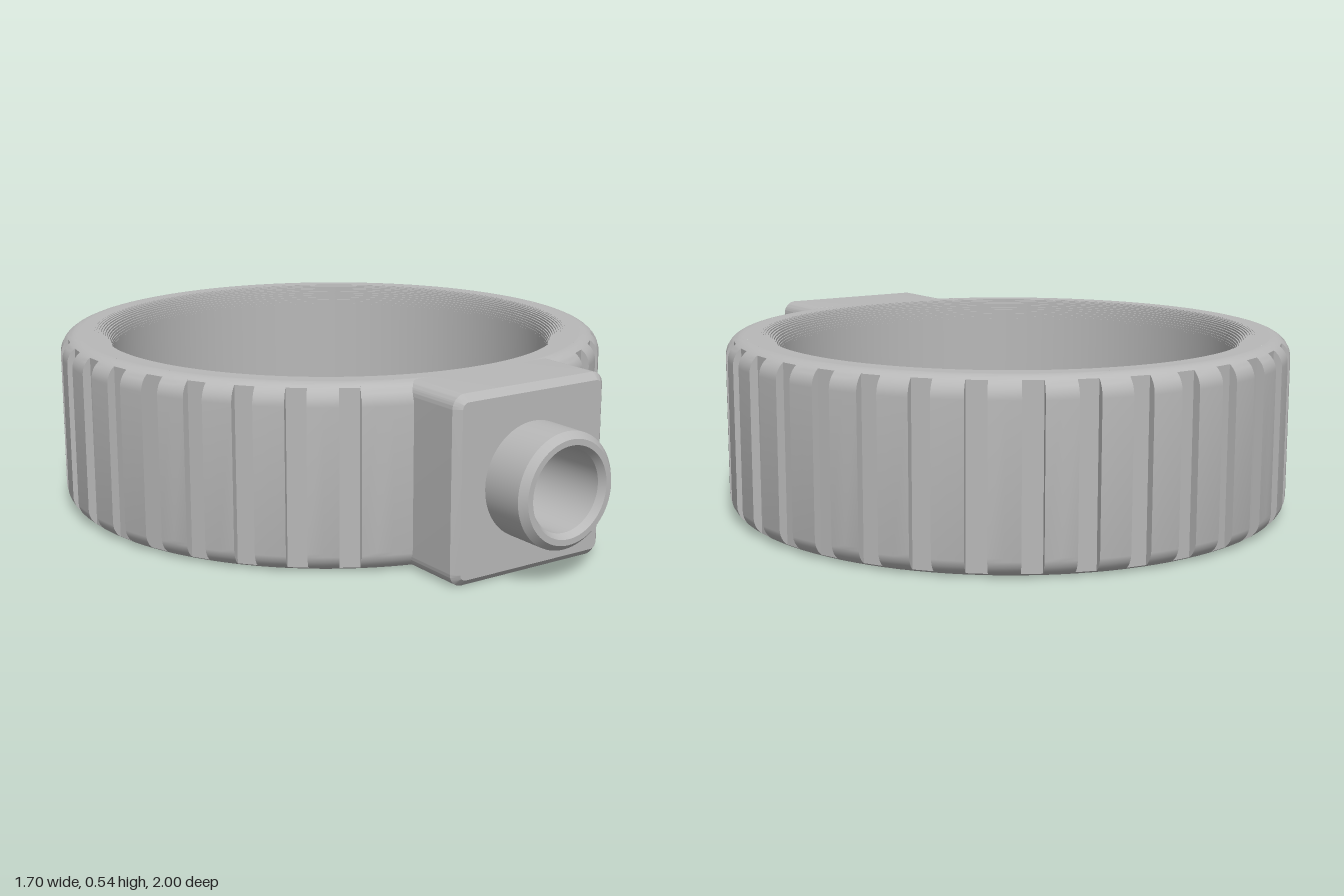
import * as THREE from 'three';
import { toCreasedNormals } from 'three/addons/utils/BufferGeometryUtils.js';

const H = 0.535, RING_Z = -0.15;
const OUTER = 0.85, INNER = 0.69, FLOOR = 0.825;
const FILLET = 0.06, GROOVE_HALF = 0.03;

// Outer wall: a rounded-edge band with straight grooves cut at every 10 degrees,
// leaving the front free for the housing.
function grippedWall() {
  const profile = [];
  const N = 10;
  for (let k = 0; k <= N; k++) {
    const a = (k / N) * Math.PI / 2;
    profile.push([OUTER - FILLET + FILLET * Math.sin(a), FILLET - FILLET * Math.cos(a)]);
  }
  for (let k = N; k >= 0; k--) profile.push([profile[k][0], H - profile[k][1]]);

  const columns = [];
  const step = Math.PI / 18, half = Math.asin(GROOVE_HALF / OUTER);
  for (let i = 0; i < 36; i++) {
    const mid = i * step;
    if (i >= 3 && i <= 33) {
      columns.push([mid - half, false], [mid - half, true], [mid + half, true], [mid + half, false]);
    } else {
      columns.push([mid - half, false], [mid, false], [mid + half, false]);
    }
    columns.push([mid + step / 2, false]);
  }
  columns.push([2 * Math.PI - half, false]);

  const pos = [], index = [], rows = profile.length;
  for (const [phi, cut] of columns) {
    for (const [r0, y] of profile) {
      const r = cut ? Math.min(r0, FLOOR) : r0;
      pos.push(r * Math.sin(phi), y, r * Math.cos(phi));
    }
  }
  for (let j = 0; j < columns.length - 1; j++) {
    for (let k = 0; k < rows - 1; k++) {
      const a = j * rows + k, b = a + rows;
      index.push(a, b, b + 1, a, b + 1, a + 1);
    }
  }
  const geo = new THREE.BufferGeometry();
  geo.setAttribute('position', new THREE.Float32BufferAttribute(pos, 3));
  geo.setIndex(index);
  return toCreasedNormals(geo, 0.5);
}

// Flat rims and inner wall, with the inner edges rounded in fine steps.
function innerWall() {
  const top = [], N = 12;
  const at = (k) => {
    const a = (k / N) * Math.PI / 2;
    return [INNER + 0.055 - 0.055 * Math.sin(a), H - 0.06 + 0.06 * Math.cos(a)];
  };
  top.push(new THREE.Vector2(OUTER - FILLET, H));
  for (let k = 0; k <= N; k++) {
    const [r, y] = at(k);
    top.push(new THREE.Vector2(r, y));
    if (k < N) top.push(new THREE.Vector2(r, at(k + 1)[1]));
  }
  const bottom = top.map((p) => new THREE.Vector2(p.x, H - p.y)).reverse();
  return toCreasedNormals(new THREE.LatheGeometry([...top, ...bottom], 128), 0.5);
}

// Rounded block with a bevelled front and a hole for the nozzle.
function housingBlock() {
  const w = 0.265, h = H / 2, r = 0.04, bevel = 0.02;
  const s = new THREE.Shape();
  s.absarc(w - r, h - r, r, 0, Math.PI / 2);
  s.absarc(-w + r, h - r, r, Math.PI / 2, Math.PI);
  s.absarc(-w + r, -h + r, r, Math.PI, Math.PI * 1.5);
  s.absarc(w - r, -h + r, r, Math.PI * 1.5, Math.PI * 2);
  s.closePath();
  s.holes.push(new THREE.Path().absarc(0, 0, 0.14, 0, Math.PI * 2, true));
  const geo = new THREE.ExtrudeGeometry(s, {
    depth: 0.205, bevelEnabled: true, bevelThickness: bevel, bevelSize: bevel,
    bevelOffset: -bevel, bevelSegments: 1, curveSegments: 12,
  });
  return toCreasedNormals(geo, 0.5);
}

// Hollow nozzle with chamfered lip and a blind bore, turned to face forward.
function nozzleTube() {
  const pts = [
    [0.165, 0.8], [0.165, 0.98], [0.147, 1.0], [0.13, 1.0],
    [0.117, 0.98], [0.115, 0.72], [0, 0.72],
  ].map(([r, z]) => new THREE.Vector2(r, z));
  return toCreasedNormals(new THREE.LatheGeometry(pts, 64).rotateX(Math.PI / 2), 0.5);
}

export function createModel() {
  const grey = new THREE.MeshStandardMaterial({ color: 0xb8b8b8 });
  grey.name = 'plain grey';

  const model = new THREE.Group();
  model.name = 'grippedRing';
  const add = (name, geo, y, z) => {
    const mesh = new THREE.Mesh(geo, grey);
    mesh.name = name;
    mesh.position.set(0, y, z);
    model.add(mesh);
  };
  add('groovedOuterWall', grippedWall(), 0, RING_Z);
  add('innerWallAndRims', innerWall(), 0, RING_Z);
  add('housing', housingBlock(), H / 2, 0.62);
  add('nozzle', nozzleTube(), H / 2, 0);
  return model;
}
